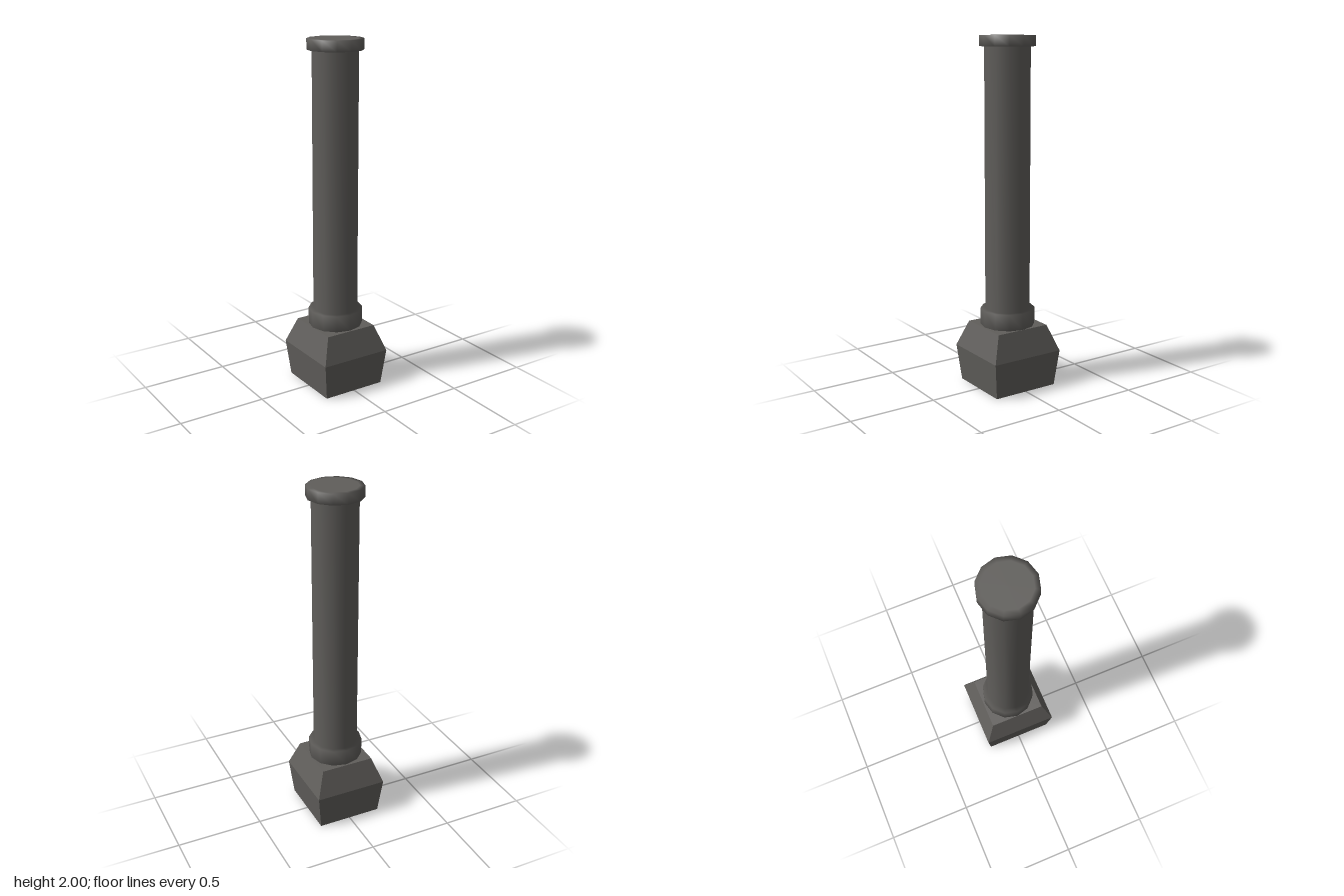
import * as THREE from 'three';

export function createModel() {
  const group = new THREE.Group();
  const stone = new THREE.MeshStandardMaterial({ color: 0x605e5b });
  stone.name = 'darkStone';

  // Pedestal: a box flaring out to its waist, then tapering to the top
  const levels = [
    { y: 0, x: 0.188, z: 0.198 },
    { y: 0.21, x: 0.211, z: 0.221 },
    { y: 0.36, x: 0.157, z: 0.165 },
  ];
  const box = new THREE.BoxGeometry(2, 2, 2, 1, 2, 1);
  const pos = box.attributes.position;
  for (let i = 0; i < pos.count; i++) {
    const level = levels[Math.round(pos.getY(i)) + 1];
    pos.setXYZ(i, pos.getX(i) * level.x, level.y, pos.getZ(i) * level.z);
  }
  const pedestalGeometry = box.toNonIndexed();
  pedestalGeometry.computeVertexNormals();
  const pedestal = new THREE.Mesh(pedestalGeometry, stone);
  pedestal.name = 'pedestal';
  group.add(pedestal);

  // Column: twelve-sided smooth shaft with a collar at each end
  const shaft = 0.128, collar = 0.156;
  const profile = [
    [shaft, 0.36], [collar, 0.36], [collar, 0.455], [shaft, 0.455],
    [shaft, 1.94], [collar, 1.94], [collar, 2], [shaft, 2], [0, 2],
  ].map(([r, y]) => new THREE.Vector2(r, y));
  const column = new THREE.Mesh(new THREE.LatheGeometry(profile, 12), stone);
  column.name = 'column';
  group.add(column);

  return group;
}
